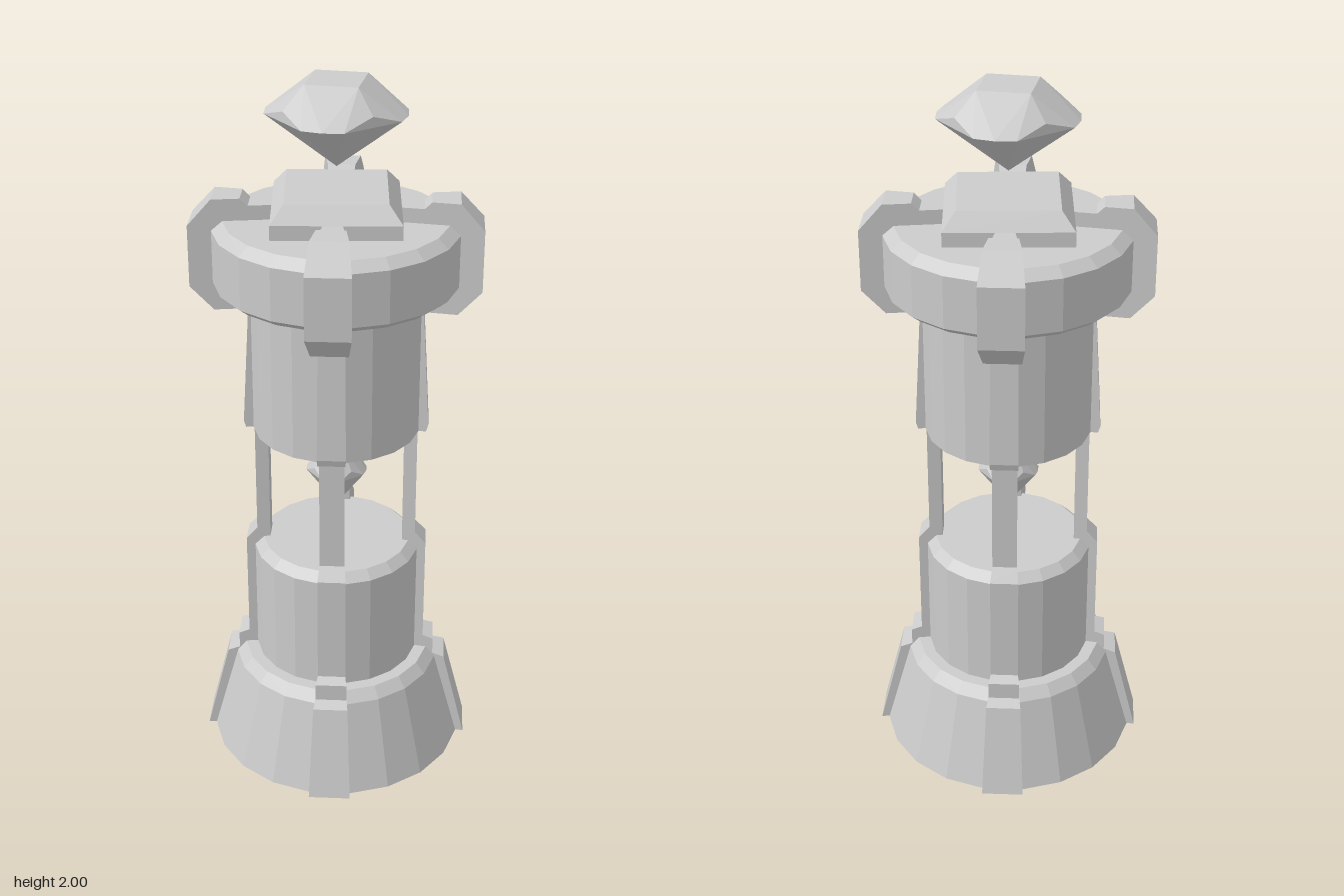
import * as THREE from 'three';
import { ConvexGeometry } from 'three/addons/geometries/ConvexGeometry.js';

const TURN = THREE.MathUtils.degToRad(27);

export function createModel() {
  const model = new THREE.Group();
  const stone = new THREE.MeshStandardMaterial({ color: 0xcccccc, flatShading: true });

  const add = (name, geometry, parent = model) => {
    const mesh = new THREE.Mesh(geometry, stone);
    mesh.name = name;
    parent.add(mesh);
    return mesh;
  };
  const points = (list) => list.map(([x, y]) => new THREE.Vector2(x, y));

  // Round bodies, twenty sided
  const turned = (name, profile) => add(name, new THREE.LatheGeometry(points(profile), 20));
  turned('base', [[0, 0], [0.37, 0], [0.297, 0.265], [0.27, 0.295], [0.236, 0.295],
    [0.236, 0.635], [0.21, 0.66], [0, 0.66]]);
  turned('upperDrum', [[0, 1.02], [0.232, 1.02], [0.232, 1.45], [0, 1.45]]);
  turned('crownRing', [[0, 1.44], [0.305, 1.44], [0.33, 1.46], [0.33, 1.605], [0.3, 1.63], [0, 1.63]]);

  // Four wedge-shaped braces, widening with distance from the axis
  const braceProfile = [
    [0.19, 0], [0.388, 0], [0.322, 0.265], [0.288, 0.275], [0.288, 0.325], [0.258, 0.335],
    [0.258, 0.655], [0.227, 0.69], [0.227, 1.02], [0.25, 1.02], [0.256, 1.04], [0.236, 1.38],
    [0.325, 1.38], [0.388, 1.45], [0.388, 1.62], [0.325, 1.69], [0.25, 1.69], [0.23, 1.67],
    [0.16, 1.67], [0.16, 1.5], [0.19, 1.4],
  ];
  const braceGeometry = new THREE.ExtrudeGeometry(new THREE.Shape(points(braceProfile)),
    { depth: 2, bevelEnabled: false });
  braceGeometry.translate(0, 0, -1);
  const pos = braceGeometry.attributes.position;
  for (let i = 0; i < pos.count; i++) pos.setZ(i, pos.getZ(i) * 0.152 * pos.getX(i));
  braceGeometry.computeVertexNormals();
  for (let i = 0; i < 4; i++) {
    add('brace', braceGeometry).rotation.y = TURN + (i * Math.PI) / 2;
  }

  // Square bevelled plinth on the crown
  const plinth = new THREE.Group();
  plinth.name = 'plinth';
  plinth.rotation.y = THREE.MathUtils.degToRad(-15);
  model.add(plinth);
  add('plinthBlock', new THREE.CylinderGeometry(0.24, 0.24, 0.06, 4), plinth).position.y = 1.64;
  add('plinthBevel', new THREE.CylinderGeometry(0.19, 0.24, 0.045, 4), plinth).position.y = 1.6925;

  // Cut gem: square table, three-point corners, raised girdle middles, tip at the origin
  const gemPoints = [new THREE.Vector3(0, 0, 0)];
  const gemPoint = (r, y, deg) => {
    const a = THREE.MathUtils.degToRad(deg);
    gemPoints.push(new THREE.Vector3(r * Math.cos(a), y, -r * Math.sin(a)));
  };
  for (let a = 19; a < 379; a += 90) {
    for (const offset of [-17, 0, 17]) gemPoint(0.186, 0.145, a + offset);
    gemPoint(0.162, 0.172, a + 45);
    gemPoint(0.098, 0.23, a + 45);
  }
  const gemGeometry = new ConvexGeometry(gemPoints);
  add('topGem', gemGeometry).position.y = 1.77;
  const innerGem = add('innerGem', gemGeometry);
  innerGem.position.y = 0.76;
  innerGem.scale.set(0.46, 0.8, 0.46);

  return model;
}
